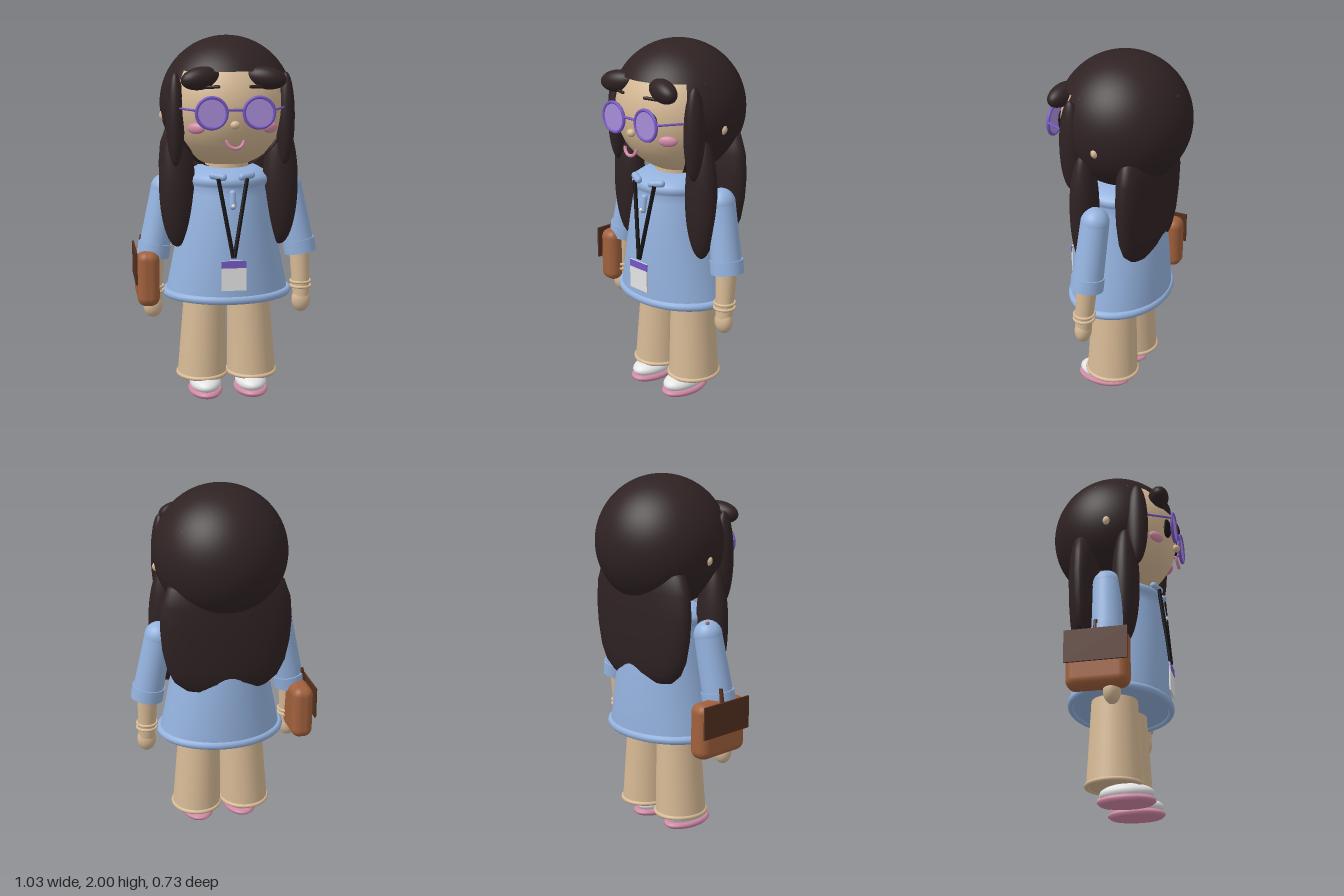
import * as THREE from 'three';
import { mergeVertices } from 'three/addons/utils/BufferGeometryUtils.js';
import { RoundedBoxGeometry } from 'three/addons/geometries/RoundedBoxGeometry.js';

const V = (x, y, z) => new THREE.Vector3(x, y, z);
const mat = (name, color, side = THREE.FrontSide) => {
  const m = new THREE.MeshStandardMaterial({ color, side });
  m.name = name;
  return m;
};

export function createModel() {
  const hair = mat('dark hair', 0x2f2223, THREE.DoubleSide);
  const skin = mat('beige skin and trousers', 0xd6b995);
  const blue = mat('blue hoodie', 0x94b2de, THREE.DoubleSide);
  const purple = mat('purple frame', 0x7658c4);
  const lilac = mat('lilac lens', 0xa78cd8);
  const pink = mat('pink', 0xd48aa8);
  const white = mat('off white', 0xe4e4e4);
  const brown = mat('brown leather', 0xa0603c);
  const darkBrown = mat('dark brown leather', 0x54301f);
  const black = mat('black', 0x171314);

  const model = new THREE.Group();
  const add = (name, geo, material, pos = [0, 0, 0], rot = [0, 0, 0]) => {
    const m = new THREE.Mesh(geo, material);
    m.name = name;
    m.position.set(...pos);
    m.rotation.set(...rot);
    model.add(m);
    return m;
  };
  const blob = (name, material, pos, radii, rot) =>
    add(name, new THREE.SphereGeometry(1, 36, 24).scale(...radii), material, pos, rot);
  const lathe = (pts) => new THREE.LatheGeometry(pts.map((p) => new THREE.Vector2(...p)), 56);
  const ring = (name, material, r, tube, pos, zScale = 1) =>
    add(name, new THREE.TorusGeometry(r, tube, 12, 56).rotateX(Math.PI / 2).scale(1, 1, zScale), material, pos);
  // round bar from a to b
  const bar = (name, material, a, b, ra, rb = ra) => {
    const d = b.clone().sub(a);
    const m = add(name, new THREE.CylinderGeometry(rb, ra, d.length(), 32), material,
      a.clone().add(b).multiplyScalar(0.5).toArray());
    m.quaternion.setFromUnitVectors(V(0, 1, 0), d.normalize());
    return m;
  };
  const pill = (name, material, a, b, r) => {
    const d = b.clone().sub(a);
    const m = add(name, new THREE.CapsuleGeometry(r, d.length(), 8, 20), material,
      a.clone().add(b).multiplyScalar(0.5).toArray());
    m.quaternion.setFromUnitVectors(V(0, 1, 0), d.normalize());
    return m;
  };

  // Head and hair shell with a front opening
  const headY = 1.635, R = 0.365, hairline = 1.04, open = 0.93;
  blob('head', skin, [0, headY - 0.005, -0.002], [0.345, 0.347, 0.342]);
  bar('neck', skin, V(0, 1.24, 0.01), V(0, 1.36, 0.01), 0.12);
  add('hairCap', new THREE.SphereGeometry(R, 64, 24, 0, Math.PI * 2, 0, hairline), hair, [0, headY, -0.003]);
  add('hairBackShell', new THREE.SphereGeometry(R, 56, 40, Math.PI / 2 + open, Math.PI * 2 - 2 * open,
    hairline, Math.PI - hairline), hair, [0, headY, -0.003]);
  // Long panel down the back
  add('hairBackPanel', lathe([[0, 0.88], [0.16, 0.883], [0.23, 0.9], [0.29, 0.95], [0.33, 1.03], [0.355, 1.15],
    [0.365, 1.28], [0.355, 1.4], [0.32, 1.5], [0.22, 1.58], [0, 1.6]]).scale(1, 1, 0.305), hair, [0, 0, -0.145]);

  // Face
  blob('nose', skin, [0, 1.545, 0.342], [0.026, 0.022, 0.022]);
  add('mouth', new THREE.TorusGeometry(0.045, 0.009, 10, 24, Math.PI).rotateZ(Math.PI), pink,
    [0, 1.468, 0.345], [-0.2, 0, 0]);

  // Hoodie body: round at the collar, oval at the hem
  let body = lathe([[0, 0.575], [0.342, 0.575], [0.34, 0.6], [0.315, 0.72], [0.285, 0.87], [0.256, 1.02],
    [0.236, 1.15], [0.226, 1.19], [0.238, 1.205], [0.243, 1.225], [0.236, 1.245], [0.21, 1.262], [0.165, 1.288], [0, 1.292]]);
  const p = body.attributes.position;
  for (let i = 0; i < p.count; i++) {
    const t = THREE.MathUtils.clamp((p.getY(i) - 0.58) / 0.42, 0, 1);
    p.setZ(i, p.getZ(i) * THREE.MathUtils.lerp(0.8, 0.99, t));
  }
  body.deleteAttribute('uv');
  body.deleteAttribute('normal');
  body = mergeVertices(body);
  body.computeVertexNormals();
  add('hoodieBody', body, blue, [0, 0, 0.018]);
  ring('hoodieHem', blue, 0.342, 0.023, [0, 0.585, 0.018], 0.79);
  pill('placket', blue, V(0, 1.1, 0.262), V(0, 1.17, 0.252), 0.018);
  blob('zipPull', white, [0, 1.105, 0.281], [0.01, 0.01, 0.008]);

  // Lanyard badge
  add('badgeCard', new THREE.BoxGeometry(0.135, 0.165, 0.008), white, [0, 0.728, 0.3]);
  add('badgeStripe', new THREE.BoxGeometry(0.135, 0.04, 0.009), purple, [0, 0.79, 0.301]);

  for (const s of [1, -1]) {
    const side = s > 0 ? 'left' : 'right';
    const n = (t) => side + t;

    // Hair locks, fringe and ear
    blob(n('SideLock'), hair, [s * 0.298, 1.56, 0.172], [0.05, 0.25, 0.062]);
    blob(n('LongLock'), hair, [s * 0.285, 1.2, 0.105], [0.098, 0.345, 0.075]);
    blob(n('Fringe'), hair, [s * 0.172, 1.785, 0.273], [0.11, 0.06, 0.058], [0, s * -0.25, s * -0.14]);
    blob(n('Ear'), skin, [s * 0.335, 1.57, 0.01], [0.036, 0.032, 0.025]);

    // Eye, brow, cheek
    blob(n('Eye'), black, [s * 0.125, 1.61, 0.312], [0.036, 0.058, 0.018], [0, s * 0.35, 0]);
    pill(n('Brow'), hair, V(s * 0.085, 1.743, 0.32), V(s * 0.17, 1.74, 0.29), 0.009);
    blob(n('Cheek'), pink, [s * 0.197, 1.522, 0.262], [0.05, 0.029, 0.02], [0, s * 0.6, 0]);

    // Glasses
    add(n('Rim'), new THREE.TorusGeometry(0.08, 0.009, 12, 48), purple, [s * 0.125, 1.61, 0.352]);
    add(n('Lens'), new THREE.CylinderGeometry(0.078, 0.078, 0.006, 40).rotateX(Math.PI / 2), lilac,
      [s * 0.125, 1.61, 0.352]);
    bar(n('Temple'), purple, V(s * 0.2, 1.625, 0.352), V(s * 0.215, 1.625, 0.345), 0.007);
    bar(n('TempleArm'), purple, V(s * 0.212, 1.625, 0.35), V(s * 0.3, 1.625, 0.18), 0.006);

    // Collar tab and lanyard strap
    pill(n('CollarTab'), blue, V(s * 0.05, 1.257, 0.25), V(s * 0.105, 1.264, 0.225), 0.02);
    bar(n('LanyardStrap'), black, V(s * 0.078, 1.25, 0.252), V(s * 0.003, 0.825, 0.297), 0.011);

    // Sleeve, cuff, forearm, hand
    const shoulder = V(s * 0.345, 1.168, 0.015), elbow = V(s * 0.41, 0.83, 0.033);
    blob(n('Shoulder'), blue, shoulder.toArray(), [0.078, 0.08, 0.078]);
    bar(n('Sleeve'), blue, elbow, shoulder, 0.085, 0.077);
    bar(n('Cuff'), blue, V(s * 0.417, 0.792, 0.035), V(s * 0.405, 0.865, 0.031), 0.091);
    bar(n('Forearm'), skin, V(s * 0.42, 0.54, 0.058), V(s * 0.412, 0.81, 0.036), 0.046, 0.058);
    blob(n('Hand'), skin, [s * 0.42, 0.518, 0.06], [0.054, 0.07, 0.046]);
    ring(n('UpperBracelet'), skin, 0.055, 0.008, [s * 0.417, 0.625, 0.052]);
    ring(n('LowerBracelet'), skin, 0.055, 0.008, [s * 0.418, 0.598, 0.054]);

    // Trouser leg and hem
    const leg = bar(n('TrouserLeg'), skin, V(s * 0.142, 0.1, 0.012), V(s * 0.122, 0.6, 0.008), 0.138, 0.116);
    leg.scale.z = 1.07;
    ring(n('TrouserHem'), skin, 0.135, 0.012, [s * 0.142, 0.102, 0.012], 1.08);

    // Shoe
    blob(n('ShoeUpper'), white, [s * 0.13, 0.06, 0.075], [0.088, 0.052, 0.145]);
    add(n('ShoeSole'), lathe([[0, 0], [0.085, 0.002], [0.095, 0.015], [0.095, 0.026], [0.085, 0.038], [0, 0.04]])
      .scale(1, 1, 1.63), pink, [s * 0.13, 0, 0.073]);
  }
  bar('glassesBridge', purple, V(-0.047, 1.625, 0.352), V(0.047, 1.625, 0.352), 0.007);

  // Bag at the right arm
  add('bag', new RoundedBoxGeometry(0.122, 0.31, 0.335, 6, 0.05), brown, [-0.447, 0.68, -0.007]);
  add('bagFlap', new THREE.BoxGeometry(0.01, 0.18, 0.335), darkBrown, [-0.514, 0.745, -0.007]);
  bar('bagStrap', darkBrown, V(-0.485, 0.82, -0.015), V(-0.475, 0.9, -0.015), 0.014, 0.01);
  blob('strapTop', brown, [-0.367, 1.235, -0.012], [0.012, 0.012, 0.012]);

  const root = new THREE.Group();
  root.name = 'figure';
  model.name = 'figureParts';
  model.position.x = 0.005;
  root.add(model);
  return root;
}
